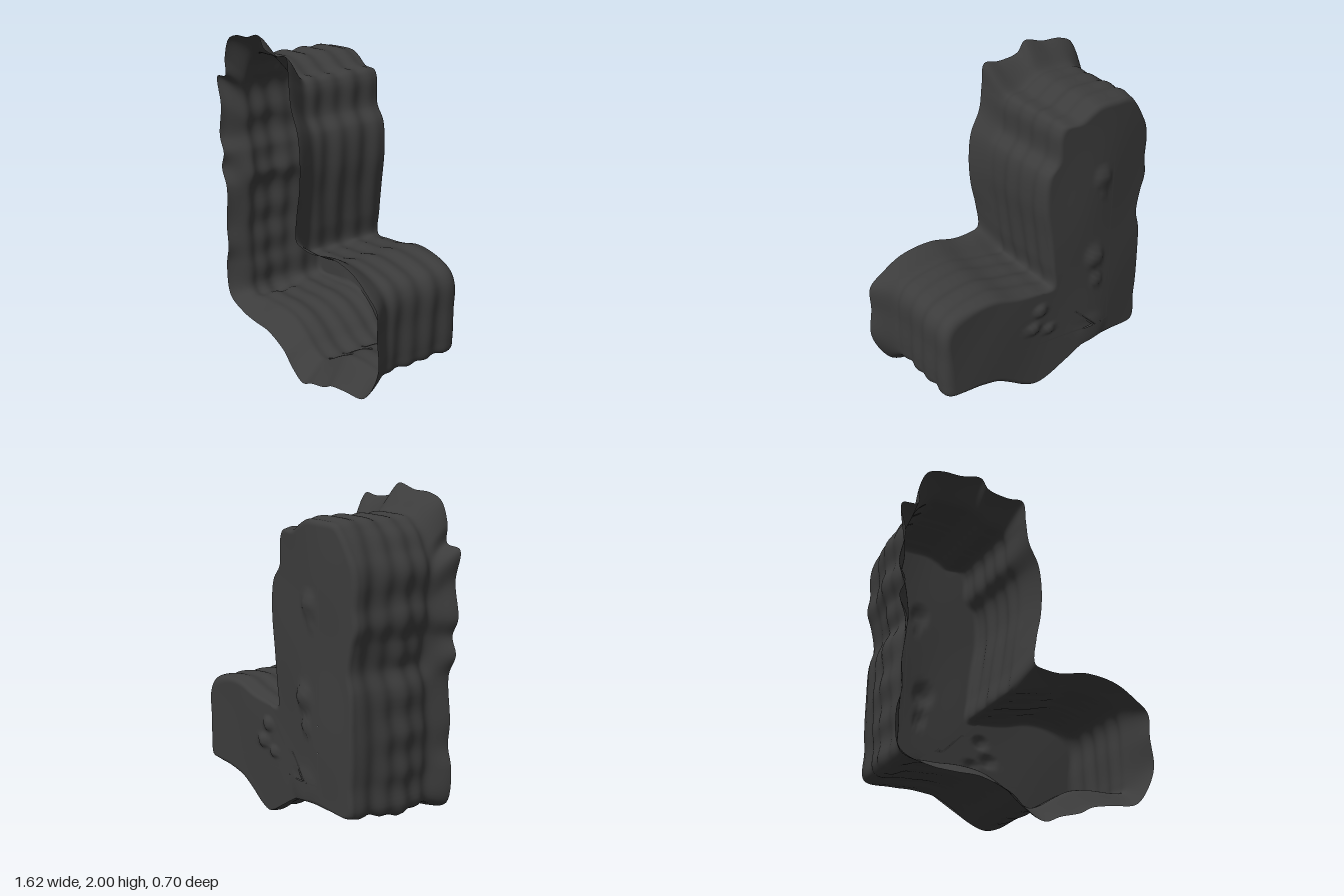
import * as THREE from 'three';

// Outline of the flared front rim, counterclockwise from the bottom tip (x, y)
const RIM = [
  0.07, 0, 0.17, 0.04, 0.3, 0.08, 0.37, 0.12, 0.5, 0.15, 0.66, 0.18, 0.73, 0.25, 0.805, 0.42,
  0.79, 0.6, 0.785, 0.75, 0.7, 0.82, 0.57, 0.89, 0.37, 0.91, 0.2, 0.87, 0.1, 0.87, 0.03, 0.89,
  0.04, 1.05, 0.07, 1.2, 0.08, 1.37, 0.06, 1.53, 0, 1.66, -0.02, 1.8, -0.04, 1.93, -0.14, 1.92,
  -0.27, 1.94, -0.32, 2, -0.45, 1.97, -0.57, 1.96, -0.66, 1.92, -0.71, 1.8, -0.71, 1.7, -0.81, 1.67,
  -0.78, 1.5, -0.81, 1.3, -0.77, 1.2, -0.8, 1.1, -0.75, 0.98, -0.77, 0.72, -0.76, 0.58, -0.79, 0.45,
  -0.76, 0.25, -0.6, 0.19, -0.45, 0.18, -0.3, 0.18, -0.12, 0.12, -0.05, 0.06];

// Outline of the cavity wall, point for point with the rim
const WALL = [
  0.06, 0.11, 0.13, 0.13, 0.24, 0.2, 0.33, 0.25, 0.45, 0.275, 0.6, 0.285, 0.675, 0.3, 0.69, 0.38,
  0.69, 0.55, 0.685, 0.72, 0.64, 0.79, 0.52, 0.83, 0.35, 0.84, 0.2, 0.8, 0.08, 0.78, -0.04, 0.77,
  -0.03, 0.92, -0.01, 1.1, 0.015, 1.3, 0, 1.48, -0.06, 1.57, -0.07, 1.72, -0.1, 1.77, -0.2, 1.78,
  -0.27, 1.82, -0.33, 1.845, -0.45, 1.845, -0.57, 1.83, -0.62, 1.78, -0.68, 1.68, -0.71, 1.61, -0.72, 1.52,
  -0.71, 1.4, -0.72, 1.3, -0.69, 1.2, -0.67, 1.07, -0.7, 0.95, -0.71, 0.72, -0.71, 0.58, -0.7, 0.45,
  -0.69, 0.28, -0.52, 0.27, -0.36, 0.28, -0.22, 0.26, -0.1, 0.2, -0.02, 0.14];

// Knobs pushed out of the back wall: x, y, radius, height
const KNOBS = [
  [-0.37, 1.39, 0.055, 0.022], [-0.38, 1.29, 0.025, 0.008], [-0.33, 0.88, 0.06, 0.03],
  [-0.35, 0.72, 0.04, 0.018], [0.04, 0.64, 0.04, 0.022], [-0.02, 0.49, 0.034, 0.02], [0.09, 0.53, 0.04, 0.024],
  [-0.33, 0.37, 0.1, 0.012]];

const SEGMENTS = 322;
const FRONT = 0.35;
const { clamp, lerp, smoothstep } = THREE.MathUtils;

function closedCurve(flat) {
  const pts = [];
  for (let i = 0; i < flat.length; i += 2) pts.push(new THREE.Vector3(flat[i], flat[i + 1], 0));
  return new THREE.CatmullRomCurve3(pts, true, 'centripetal');
}

// Uneven depth of the back wall with its knobs
function backZ(x, y) {
  let z = -0.29 - 0.032 * Math.exp(-(((x + 0.36) / 0.3) ** 2)) + 0.005 * Math.sin(x * 9) * Math.sin(y * 7);
  for (const [kx, ky, r, h] of KNOBS) {
    const d2 = ((x - kx) ** 2 + (y - ky) ** 2) / (r * r);
    z -= h * Math.exp(-d2 * d2);
  }
  return z;
}

// Point on the L-shaped centre line that a wall point closes towards
function spinePoint(p) {
  if (p.y > 0.77 && p.x < 0.05) return [-0.45, 0.4 + (Math.min(p.y, 1.5) - 0.77) * 1.507];
  return [lerp(-0.45, 0.4, clamp((p.x + 0.04) / 0.44, 0, 1)), 0.4];
}

function shellGeometry() {
  const rim = closedCurve(RIM), wall = closedCurve(WALL);
  const depthRings = 48, cornerRings = 6, backRings = 48;
  const rings = depthRings + cornerRings + backRings;
  const pos = [], index = [];
  for (let i = 0; i <= rings; i++) {
    for (let j = 0; j < SEGMENTS; j++) {
      const t = j / SEGMENTS;
      const r = rim.getPoint(t), w = wall.getPoint(t), tan = wall.getTangent(t);
      const [sx, sy] = spinePoint(w);
      const radius = lerp(0.03, 0.055, smoothstep(w.x, 0.4, 0.65));
      const zEnd = backZ(w.x, w.y) + radius;
      const z = lerp(FRONT, zEnd, Math.min(i / depthRings, 1));

      // S-shaped flare at the mouth, soft ripples along the depth, bulge on the right-hand wall
      const u = clamp((z - 0.19) / (FRONT - 0.19), 0, 1);
      const flare = 0.6 * smoothstep(u, 0, 1) + 0.4 * u ** 1.3;
      const calm = smoothstep(0.3 - z, 0, 0.14);
      let out = calm * 0.006 * Math.sin(z * 48 + 0.8 * Math.sin(w.x * 5 + w.y * 4));
      out += calm * 0.003 * Math.sin(z * 23 + w.y * 6);
      const side = smoothstep(-w.x, 0.58, 0.68);
      out += side * calm * Math.exp(-(((z - 0.06) / 0.17) ** 2)) * (0.032 + 0.009 * Math.sin(w.y * 29));
      let x = lerp(w.x, r.x, flare) + tan.y * out;
      let y = lerp(w.y, r.y, flare) - tan.x * out;
      let zz = z;

      if (i > depthRings) {
        // rounded edge, then the back wall closing on the centre line
        const len = Math.hypot(sx - x, sy - y);
        const a = Math.min((i - depthRings) / cornerRings, 1) * Math.PI / 2;
        const k = Math.max(i - depthRings - cornerRings, 0) / backRings;
        const inset = lerp(radius * (1 - Math.cos(a)) / len, 1, k);
        x = lerp(x, sx, inset);
        y = lerp(y, sy, inset);
        zz = lerp(zEnd, backZ(x, y), Math.sin(a));
      }
      pos.push(x, y, zz);
      if (i < rings) {
        const n = (j + 1) % SEGMENTS, a = i * SEGMENTS + j, b = i * SEGMENTS + n;
        index.push(a, a + SEGMENTS, b, b, a + SEGMENTS, b + SEGMENTS);
      }
    }
  }
  const geo = new THREE.BufferGeometry();
  geo.setAttribute('position', new THREE.Float32BufferAttribute(pos, 3));
  geo.setIndex(index);
  geo.computeVertexNormals();
  // the innermost ring lies flat on the back wall
  const normal = geo.attributes.normal;
  for (let j = 0; j < SEGMENTS; j++) normal.setXYZ(rings * SEGMENTS + j, 0, 0, -1);
  return geo;
}

export function createModel() {
  const group = new THREE.Group();
  group.name = 'rockAlcove';
  const material = new THREE.MeshStandardMaterial({ color: 0x3c3c3c, side: THREE.DoubleSide });
  const shell = new THREE.Mesh(shellGeometry(), material);
  shell.name = 'caveShell';
  group.add(shell);
  return group;
}
